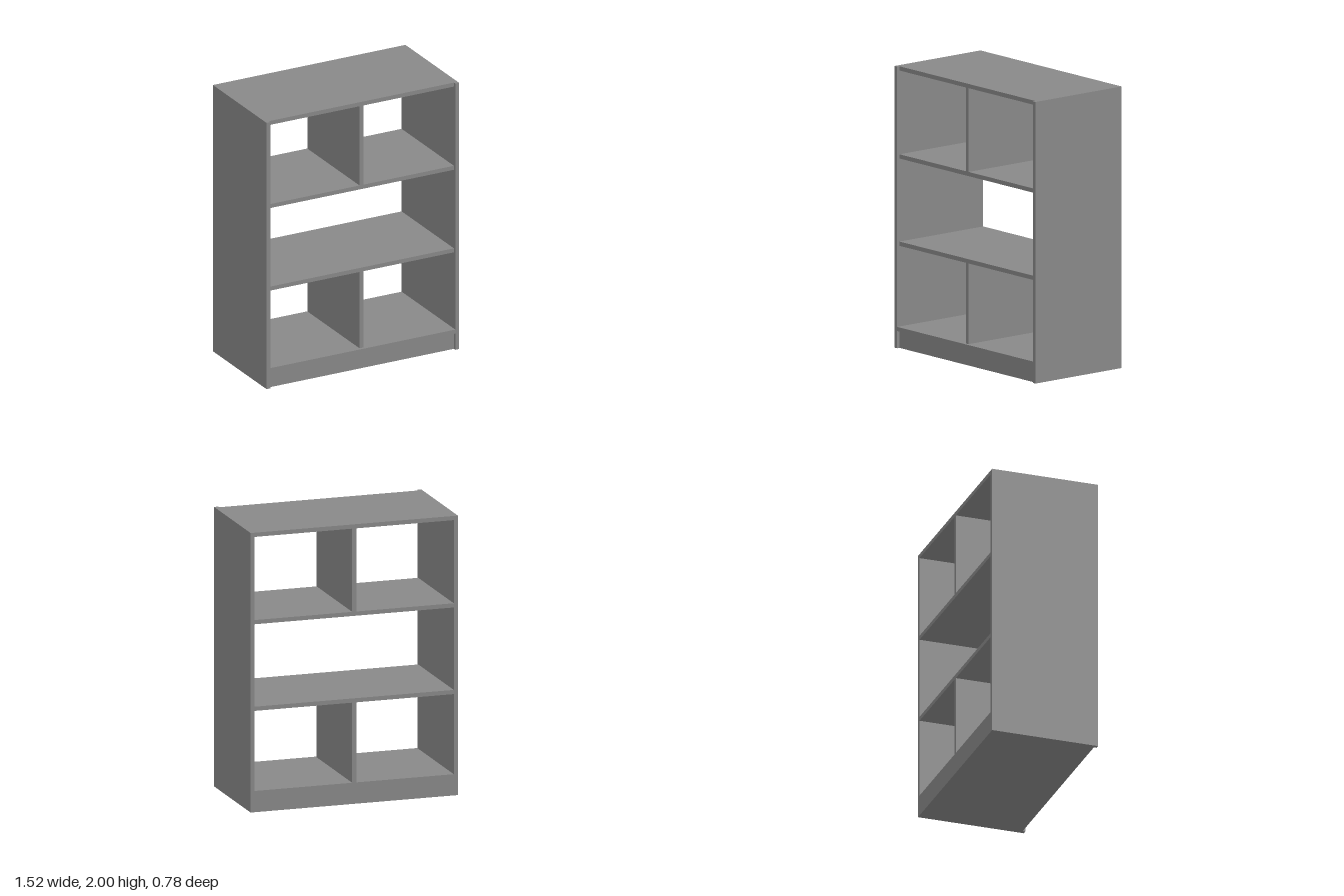
import * as THREE from 'three';

const W = 1.52, H = 2, D = 0.78;   // overall size
const T = 0.03;                    // board thickness
const RECESS = 0.02;               // front set-back of the boards between the sides

export function createModel() {
  const group = new THREE.Group();
  const material = new THREE.MeshStandardMaterial({ color: 0x888888 });
  const inner = W - 2 * T;
  const bottomY = 0.152, lowerY = 0.755, upperY = 1.375;   // upper faces of the shelves

  // Board from y0 to y1, flush at the back, optionally set back at the front
  function board(name, width, y0, y1, x = 0, recess = RECESS) {
    const mesh = new THREE.Mesh(new THREE.BoxGeometry(width, y1 - y0, D - recess), material);
    mesh.position.set(x, (y0 + y1) / 2, -recess / 2);
    mesh.name = name;
    group.add(mesh);
  }

  // Side panels
  board('leftSide', T, 0, H, (W - T) / 2, 0);
  board('rightSide', T, 0, H, -(W - T) / 2, 0);

  // Plinth, shelves and top; only the bottom shelf reaches the front edge
  board('plinth', inner, 0, bottomY - T);
  board('bottomShelf', inner, bottomY - T, bottomY, 0, 0);
  board('lowerShelf', inner, lowerY - T, lowerY);
  board('upperShelf', inner, upperY - T, upperY);
  board('top', inner, H - T, H);

  // Centre dividers in the lower and upper bays
  board('lowerDivider', T, bottomY, lowerY - T);
  board('upperDivider', T, upperY, H - T);

  return group;
}
